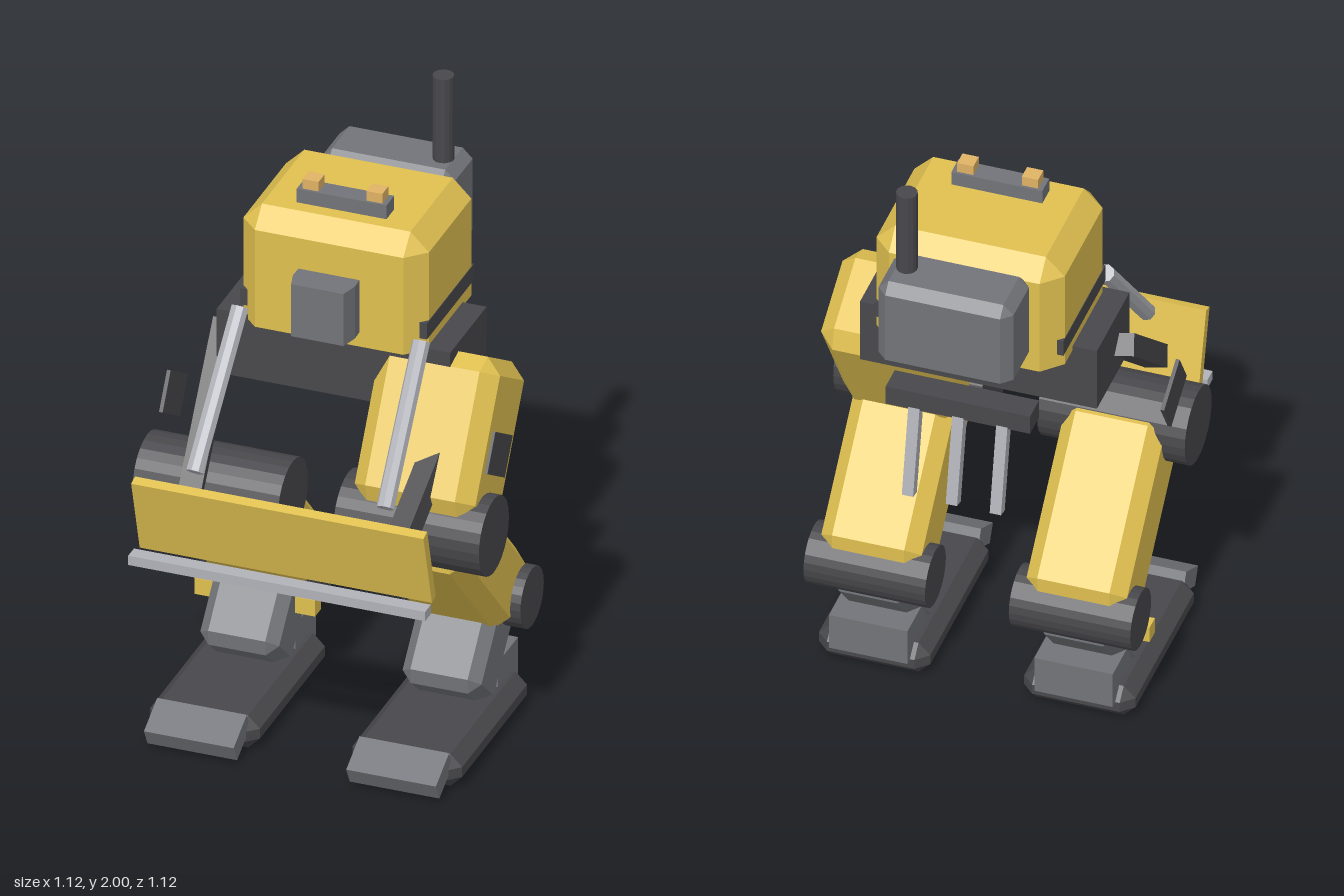
import * as THREE from 'three';
import { ConvexGeometry } from 'three/addons/geometries/ConvexGeometry.js';

const mat = (color) => new THREE.MeshStandardMaterial({ color, flatShading: true });
const yellow = mat(0xe0c050), dark = mat(0x48484c), grey = mat(0x727479);
const light = mat(0xb0b2b8), amber = mat(0xe0b265);

// Box with cut vertical corners and a bevelled top (and bottom, unless flat)
function chamferBox(w, h, d, c, flatBottom = false) {
  const pts = [];
  const x = w / 2, y = h / 2, z = d / 2;
  for (const sx of [-1, 1]) for (const sz of [-1, 1]) for (const sy of [-1, 1]) {
    const flat = flatBottom && sy < 0;
    const ring = flat ? -y : sy * (y - c);
    pts.push(new THREE.Vector3(sx * x, ring, sz * (z - c)), new THREE.Vector3(sx * (x - c), ring, sz * z));
    if (!flat) pts.push(new THREE.Vector3(sx * (x - c), sy * y, sz * (z - c)));
  }
  return new ConvexGeometry(pts);
}

export function createModel() {
  const model = new THREE.Group();
  model.name = 'walkingBulldozer';

  const add = (name, geo, material, x, y, z, tilt = 0) => {
    const m = new THREE.Mesh(geo, material);
    m.name = name;
    m.position.set(x, y, z);
    m.rotation.x = tilt;
    model.add(m);
    return m;
  };
  const box = (w, h, d) => new THREE.BoxGeometry(w, h, d);
  const axle = (name, r, len, x, y, z) => {
    const g = new THREE.CylinderGeometry(r, r, len, 24);
    g.rotateZ(Math.PI / 2);
    return add(name, g, dark, x, y, z);
  };
  // Stretch a mesh whose length is along y between two points
  const between = (name, makeGeo, material, a, b) => {
    const p = new THREE.Vector3(...a), q = new THREE.Vector3(...b);
    const dir = q.clone().sub(p);
    const mid = p.clone().add(q).multiplyScalar(0.5);
    const m = add(name, makeGeo(dir.length()), material, mid.x, mid.y, mid.z);
    m.quaternion.setFromUnitVectors(new THREE.Vector3(0, 1, 0), dir.normalize());
    return m;
  };

  // Cab and torso
  add('cab', chamferBox(0.6, 0.395, 0.475, 0.06, true), yellow, 0, 1.5425, -0.12);
  add('cabBand', box(0.604, 0.055, 0.395), dark, 0, 1.418, -0.118);
  add('torso', box(0.755, 0.22, 0.305), dark, 0, 1.25, -0.072);

  // Visor with slightly tapered sides
  const visor = new THREE.Shape([[-0.098, 0], [0.098, 0], [0.1, 0.06], [0.085, 0.115], [-0.085, 0.115], [-0.1, 0.06]]
    .map(([x, z]) => new THREE.Vector2(x, -z)));
  const visorGeo = new THREE.ExtrudeGeometry(visor, { depth: 0.18, bevelEnabled: false });
  visorGeo.rotateX(-Math.PI / 2);
  add('visor', visorGeo, grey, 0, 1.395, 0.1);

  // Roof light bar
  add('lightBar', box(0.29, 0.05, 0.065), grey, 0, 1.762, -0.02);
  for (const s of [-1, 1]) add('roofLamp', box(0.052, 0.036, 0.05), amber, s * 0.103, 1.802, -0.02);

  // Engine pack and exhaust
  add('enginePack', chamferBox(0.43, 0.31, 0.21, 0.032), grey, 0, 1.557, -0.455);
  add('exhaust', new THREE.CylinderGeometry(0.033, 0.033, 0.32, 14), dark, 0.152, 1.84, -0.447);

  // Rear ripper
  add('ripperBar', box(0.46, 0.065, 0.085), dark, 0, 1.182, -0.375);
  for (const x of [-0.14, 0, 0.14])
    between('ripperTine', (l) => box(0.036, l, 0.036), light, [x, 1.175, -0.395], [x, 0.86, -0.46]);

  // Dozer blade
  add('blade', box(0.945, 0.268, 0.033), yellow, 0, 0.857, 0.499, 0.27);
  add('cuttingEdge', box(0.96, 0.032, 0.048), light, 0, 0.718, 0.532);

  for (const s of [-1, 1]) {
    // Lift arm and hydraulic ram
    between('liftArm', (l) => box(0.07, l, 0.07), dark, [s * 0.395, 1.25, -0.035], [s * 0.338, 0.838, 0.445]);
    between('hydraulicRam', (l) => new THREE.CylinderGeometry(0.028, 0.028, l, 8), light,
      [s * 0.293, 1.395, 0.105], [s * 0.308, 1.0, 0.445]);

    // Thigh: only the left side carries its casing
    const x = s * 0.327;
    if (s > 0) add('thigh', chamferBox(0.39, 0.5, 0.335, 0.05), yellow, x, 1.055, 0.04, -0.545);
    add('thighPanel', box(0.012, 0.13, 0.17), dark, s * 0.525, 1.028, 0.06, -0.545);

    // Lower leg
    axle('kneeHub', 0.126, 0.47, s * 0.325, 0.82, 0.187);
    add('lowerLeg', chamferBox(0.32, 0.61, 0.265, 0.045), yellow, x, 0.6, -0.022, 0.76);
    axle('ankleHub', 0.098, 0.387, x, 0.378, -0.235);
    add('ankle', chamferBox(0.255, 0.35, 0.205, 0.035), grey, x, 0.255, -0.125, -0.72);

    // Foot
    add('foot', chamferBox(0.355, 0.11, 0.62, 0.038), dark, x, 0.055, 0.037);
    add('toe', box(0.29, 0.064, 0.125), grey, x, 0.07, 0.375, 0.48);
    add('heel', box(0.25, 0.125, 0.17), grey, x, 0.132, -0.21);
  }

  // Cross bar through the right ankle
  add('ankleBar', box(0.39, 0.055, 0.05), yellow, -0.33, 0.268, -0.14);

  return model;
}
